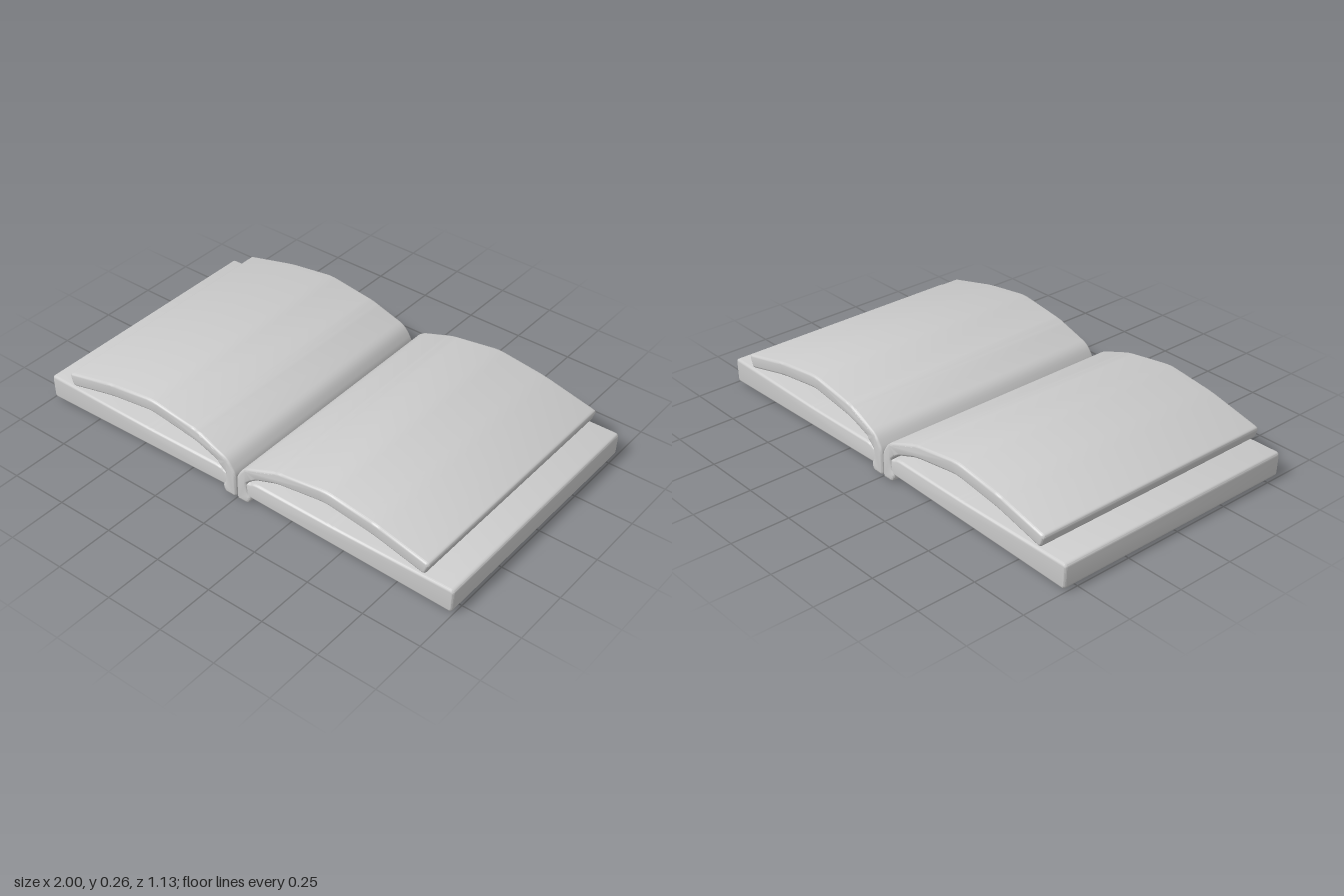
import * as THREE from 'three';
import { toCreasedNormals } from 'three/addons/utils/BufferGeometryUtils.js';

const DEPTH = 1.12, BEVEL = 0.01;

// Closed profile from [x, y, cornerRadius] points, corners softened by curves
function roundedShape(points) {
  const shape = new THREE.Shape();
  const n = points.length;
  points.forEach(([x, y, r], i) => {
    const p = new THREE.Vector2(x, y);
    const toward = (q) => {
      const d = new THREE.Vector2(q[0], q[1]).sub(p);
      return d.setLength(Math.min(r, d.length() * 0.45)).add(p);
    };
    const a = toward(points[(i + n - 1) % n]);
    const b = toward(points[(i + 1) % n]);
    if (i === 0) shape.moveTo(a.x, a.y);
    else shape.lineTo(a.x, a.y);
    shape.quadraticCurveTo(x, y, b.x, b.y);
  });
  shape.closePath();
  return shape;
}

// Profile swept along z with softly bevelled ends
function sweep(points) {
  const geo = new THREE.ExtrudeGeometry(roundedShape(points), {
    depth: DEPTH - 2 * BEVEL, curveSegments: 4,
    bevelEnabled: true, bevelThickness: BEVEL, bevelSize: BEVEL, bevelOffset: -BEVEL, bevelSegments: 3,
  });
  return geo.translate(0, 0, -DEPTH / 2 + BEVEL);
}

export function createModel() {
  const book = new THREE.Group();
  book.name = 'openBook';
  const material = new THREE.MeshStandardMaterial({ color: 0xcccccc });

  // Arched page sheet running down into the spine
  const page = sweep([
    [0.003, 0.0, 0.014], [0.058, 0.0, 0.016], [0.07, 0.03, 0.012], [0.056, 0.05, 0.012],
    [0.05, 0.095, 0.014], [0.085, 0.127, 0.02], [0.2, 0.17, 0.03], [0.43, 0.203, 0.03],
    [0.65, 0.172, 0.03], [0.874, 0.117, 0.016], [0.893, 0.172, 0.016], [0.65, 0.23, 0.03],
    [0.43, 0.26, 0.03], [0.2, 0.226, 0.03], [0.04, 0.167, 0.03], [0.003, 0.11, 0.02],
  ]);
  // Spine ends stand slightly proud
  const pos = page.attributes.position;
  for (let i = 0; i < pos.count; i++) {
    if (pos.getX(i) < 0.09) pos.setZ(i, pos.getZ(i) + 0.005 * Math.sign(pos.getZ(i)));
  }
  const pageGeo = toCreasedNormals(page, 0.7);

  // Thick lower block, tapering slightly toward the spine
  const blockGeo = toCreasedNormals(sweep([
    [0.03, 0.03, 0.01], [0.996, 0.006, 0.016], [1, 0.112, 0.016], [0.45, 0.106, 0.03],
    [0.09, 0.11, 0.02], [0.06, 0.098, 0.01], [0.03, 0.098, 0.01],
  ]), 0.7);

  for (const side of [1, -1]) {
    const half = new THREE.Group();
    half.name = side > 0 ? 'leftHalf' : 'rightHalf';
    const sheet = new THREE.Mesh(pageGeo, material);
    sheet.name = 'archedPage';
    const block = new THREE.Mesh(blockGeo, material);
    block.name = 'coverBlock';
    half.add(sheet, block);
    half.scale.x = side;
    book.add(half);
  }
  return book;
}
